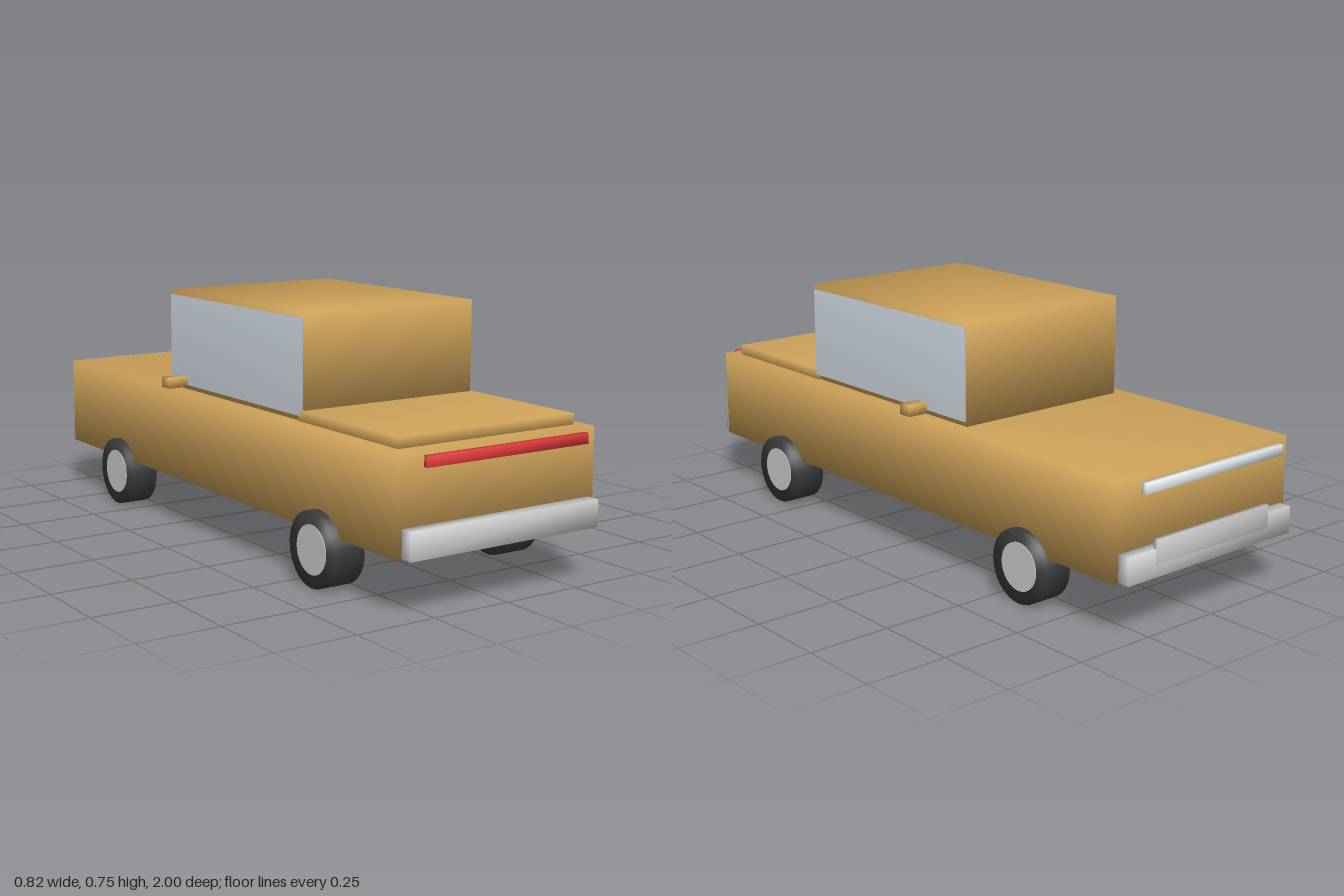
import * as THREE from 'three';
import { mergeVertices } from 'three/addons/utils/BufferGeometryUtils.js';

const material = (color) => new THREE.MeshStandardMaterial({ color });

// Share corner vertices so the normals blend across the edges
function soften(geometry) {
  geometry.deleteAttribute('normal');
  geometry.deleteAttribute('uv');
  const merged = mergeVertices(geometry);
  merged.computeVertexNormals();
  return merged;
}

export function createModel() {
  const car = new THREE.Group();
  car.name = 'car';
  const paint = material(0xcfa35a);
  const rubber = material(0x3a3a3a);
  const chrome = material(0xcccccc);
  const glass = material(0xd5dde6);
  const red = material(0xe03a3a);
  const white = material(0xe8eef2);

  // Box given by its minimum and maximum corners
  function box(name, mat, [x0, y0, z0], [x1, y1, z1]) {
    const geometry = new THREE.BoxGeometry(x1 - x0, y1 - y0, z1 - z0);
    const mesh = new THREE.Mesh(soften(geometry), mat);
    mesh.position.set((x0 + x1) / 2, (y0 + y1) / 2, (z0 + z1) / 2);
    mesh.name = name;
    car.add(mesh);
  }

  // Bodywork
  box('body', paint, [-0.343, 0.158, -0.957], [0.343, 0.443, 0.957]);
  box('cabin', paint, [-0.301, 0.43, -0.303], [0.301, 0.754, 0.463]);
  box('lid', paint, [-0.308, 0.43, 0.44], [0.308, 0.475, 0.91]);

  // Bumpers, light bars and plate
  box('frontBumper', chrome, [-0.328, 0.162, 0.95], [0.328, 0.242, 0.998]);
  box('rearBumper', chrome, [-0.328, 0.162, -0.996], [0.328, 0.242, -0.95]);
  box('plate', chrome, [-0.225, 0.2, -1], [0.225, 0.27, -0.985]);
  box('redLightBar', red, [-0.28, 0.406, 0.985], [0.28, 0.437, 1]);
  box('whiteLightBar', white, [-0.275, 0.406, -1], [0.275, 0.437, -0.983]);

  // Tyre and hub cap, both turned on the x axis
  function wheel(name, side, inner, outer, z) {
    const group = new THREE.Group();
    group.name = name;
    const width = outer - inner;
    const tyre = new THREE.Mesh(
      soften(new THREE.CylinderGeometry(0.111, 0.111, width, 32).rotateZ(Math.PI / 2)), rubber);
    tyre.name = 'tyre';
    const hub = new THREE.Mesh(
      new THREE.CylinderGeometry(0.072, 0.072, 0.02, 32).rotateZ(Math.PI / 2), chrome);
    hub.name = 'hubCap';
    hub.position.x = side * (width / 2 - 0.008);
    group.add(tyre, hub);
    group.position.set(side * (inner + outer) / 2, 0.111, z);
    car.add(group);
  }

  // Mirrored side parts
  for (const side of [1, -1]) {
    const label = side > 0 ? 'left' : 'right';
    const span = (a, b) => (side > 0 ? [a, b] : [-b, -a]);
    const [w0, w1] = span(0.285, 0.308);
    box(label + 'Window', glass, [w0, 0.458, -0.298], [w1, 0.738, 0.454]);
    const [m0, m1] = span(0.347, 0.412);
    box(label + 'Mirror', paint, [m0, 0.465, -0.174], [m1, 0.497, -0.128]);
    wheel(label + 'FrontWheel', side, 0.268, 0.37, 0.6);
    wheel(label + 'RearWheel', side, 0.268, 0.36, -0.6);
  }
  return car;
}
